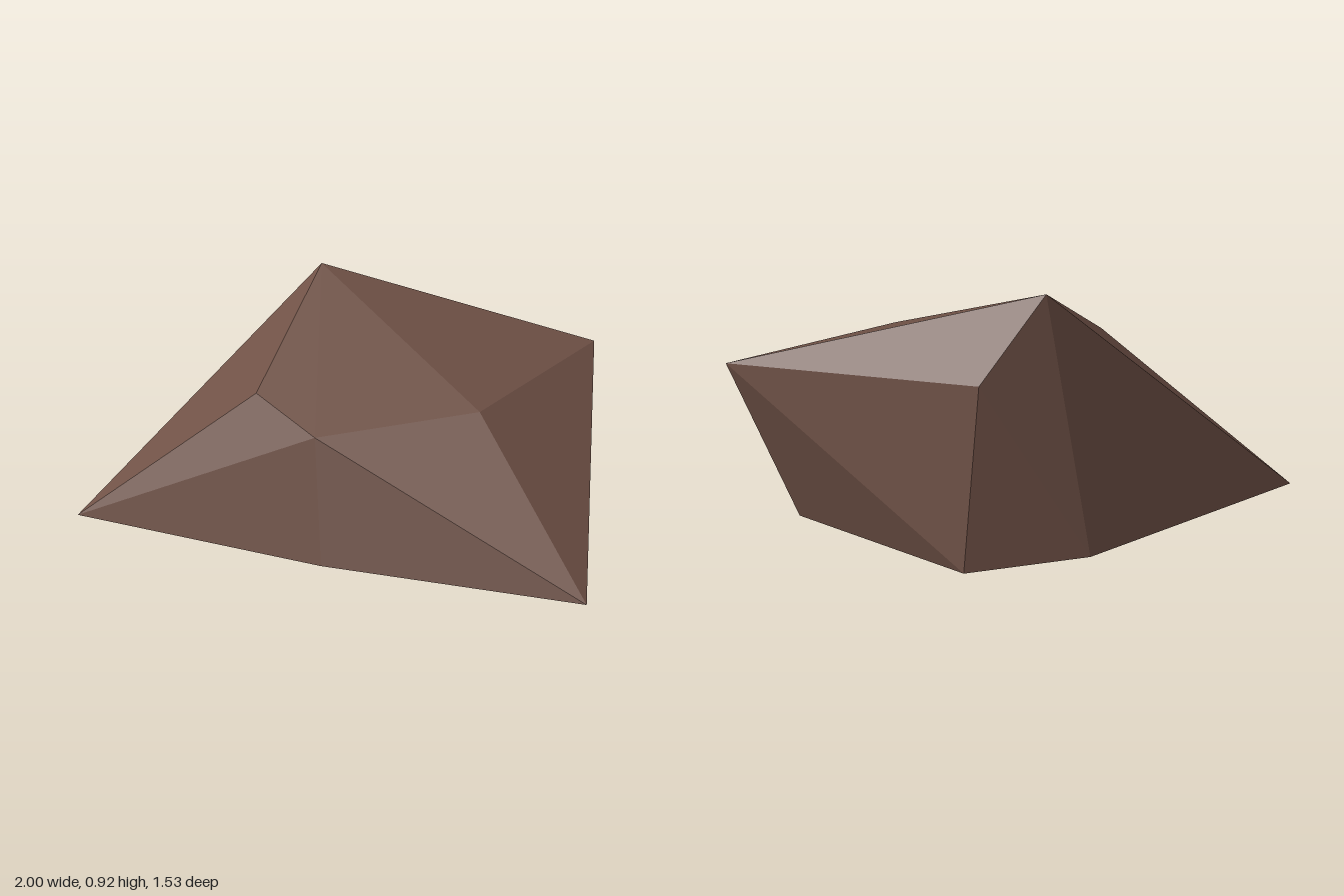
import * as THREE from 'three';
import { ConvexGeometry } from 'three/addons/geometries/ConvexGeometry.js';

export function createModel() {
  const group = new THREE.Group();
  group.name = 'rock';

  const brownStone = new THREE.MeshStandardMaterial({ color: 0x6f5146, flatShading: true });
  brownStone.name = 'brownStone';

  // Footprint corners, nearly level with the ground
  const base = [
    [-1, 0, -0.03],
    [-0.01, 0.01, 0.47],
    [0.87, 0.015, 0.76],
    [0.8, 0.015, -0.41],
    [0.17, 0.015, -0.77],
    [-0.25, 0.01, -0.63],
  ];

  // Peak, side shoulder, back shoulder and the front ridge corners
  const crown = [
    [-0.09, 0.92, -0.525],
    [1, 0.63, -0.47],
    [0.12, 0.65, -0.665],
    [-0.27, 0.545, 0.155],
    [-0.04, 0.44, 0.36],
    [0.53, 0.515, 0.25],
  ];

  // Faceted boulder wrapped around the corners
  const corners = [...base, ...crown].map((p) => new THREE.Vector3(...p));
  const boulder = new THREE.Mesh(new ConvexGeometry(corners), brownStone);
  boulder.name = 'boulder';
  group.add(boulder);

  return group;
}
